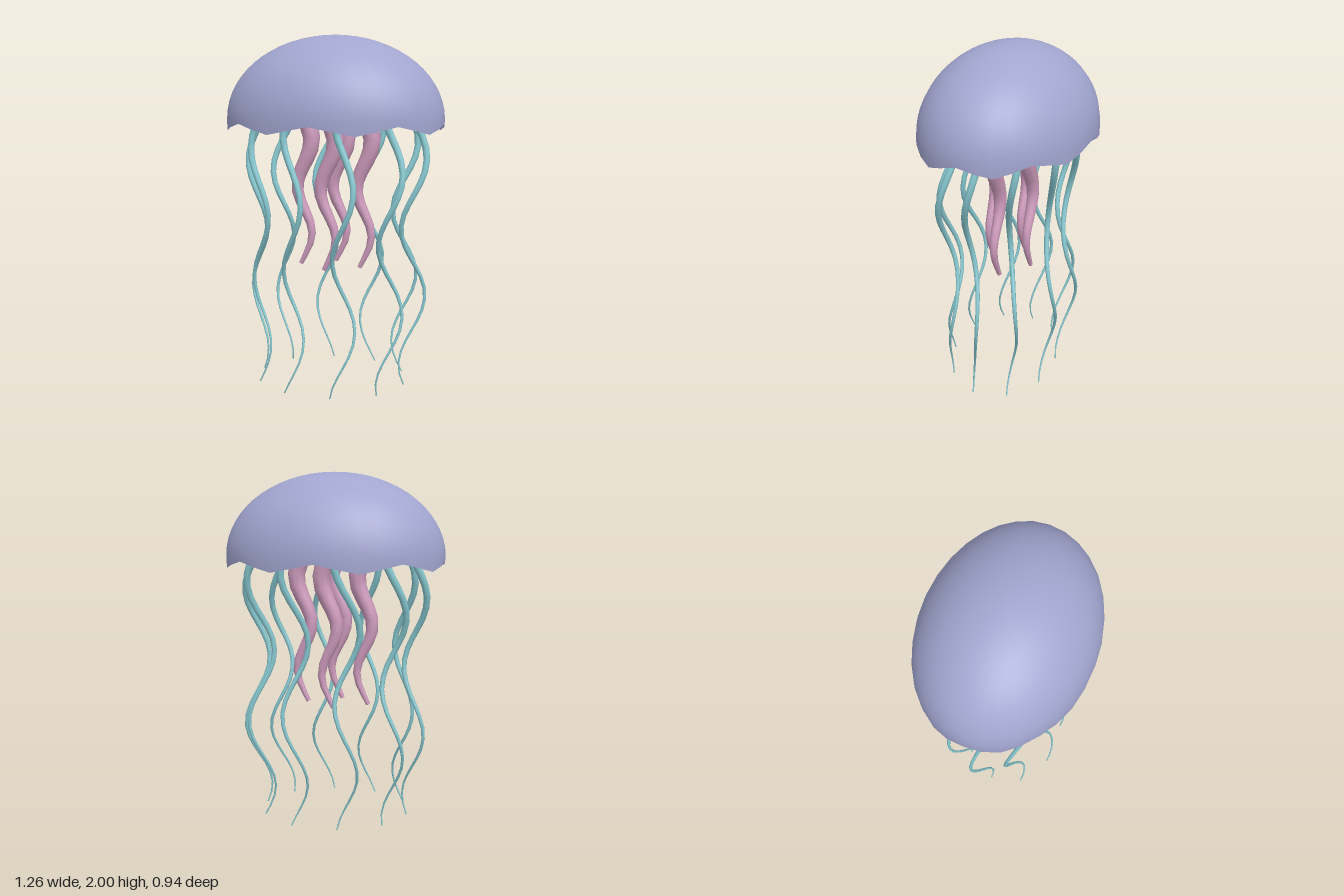
import * as THREE from 'three';
import { mergeVertices } from 'three/addons/utils/BufferGeometryUtils.js';

// Curve whose point is given by a function of t
class RuleCurve extends THREE.Curve {
  constructor(rule) {
    super();
    this.rule = rule;
  }
  getPoint(t, target = new THREE.Vector3()) {
    return target.set(...this.rule(t));
  }
}

// Tube that narrows from r0 to r1, with both ends closed
function taperedTube(rule, segments, sides, r0, r1) {
  const curve = new RuleCurve(rule);
  const geo = new THREE.TubeGeometry(curve, segments, 1, sides, false);
  const pos = geo.attributes.position;
  const v = new THREE.Vector3();
  for (let i = 0; i <= segments; i++) {
    const t = i / segments;
    const c = curve.getPointAt(t);
    const r = r0 + (r1 - r0) * t;
    for (let j = 0; j <= sides; j++) {
      const k = i * (sides + 1) + j;
      v.fromBufferAttribute(pos, k).sub(c).multiplyScalar(r).add(c);
      pos.setXYZ(k, v.x, v.y, v.z);
    }
  }
  // end caps as fans
  const index = Array.from(geo.index.array);
  const last = segments * (sides + 1);
  for (let j = 1; j < sides - 1; j++) {
    index.push(0, j, j + 1, last, last + j + 1, last + j);
  }
  geo.setIndex(index);
  return geo;
}

// Domed bell with eight scallops along its open rim
function bellGeometry() {
  const rows = 16;
  const geo = new THREE.SphereGeometry(1, 32, rows, 0, Math.PI * 2, 0, 1.649);
  geo.scale(0.63, 0.47, 0.47);
  geo.translate(0, 1.53, 0);
  const pos = geo.attributes.position;
  for (let i = 0; i < pos.count; i++) {
    const row = Math.floor(i / 33);
    const angle = ((i % 33) / 32) * Math.PI * 2;
    const drop = 0.024 * Math.cos(8 * angle) * Math.pow(row / rows, 12);
    pos.setY(i, pos.getY(i) + drop);
  }
  geo.deleteAttribute('uv');
  geo.deleteAttribute('normal');
  const merged = mergeVertices(geo, 1e-4);
  merged.computeVertexNormals();
  return merged;
}

export function createModel() {
  const lavender = new THREE.MeshStandardMaterial({ color: 0xa2a6d0, side: THREE.DoubleSide });
  lavender.name = 'lavender';
  const pink = new THREE.MeshStandardMaterial({ color: 0xcc9abb, side: THREE.DoubleSide });
  pink.name = 'pink';
  const teal = new THREE.MeshStandardMaterial({ color: 0x84c4cc, side: THREE.DoubleSide });
  teal.name = 'teal';

  const model = new THREE.Group();
  model.name = 'jellyfish';
  const add = (name, geometry, material) => {
    const mesh = new THREE.Mesh(geometry, material);
    mesh.name = name;
    model.add(mesh);
  };

  add('bell', bellGeometry(), lavender);

  // Four thick arms in the middle, swaying together
  for (let i = 0; i < 4; i++) {
    const a = (i * Math.PI) / 2;
    const rule = (t) => [
      0.18 * Math.cos(a) + 0.045 * Math.sin(10 * t),
      1.55 - 0.875 * t,
      0.12 * Math.sin(a),
    ];
    add('oralArm' + (i + 1), taperedTube(rule, 14, 10, 0.056, 0.013), pink);
  }

  // Ten thin tentacles on an oval ring, each a step further along its wave
  for (let i = 0; i < 10; i++) {
    const a = (i * Math.PI) / 5;
    const rule = (t) => [
      0.47 * Math.cos(a) + 0.065 * Math.sin(12 * t + a),
      1.505 * (1 - t),
      -0.33 * Math.sin(a) - 0.047 * Math.cos(10 * t),
    ];
    add('tentacle' + (i + 1), taperedTube(rule, 24, 8, 0.021, 0.004), teal);
  }
  return model;
}
